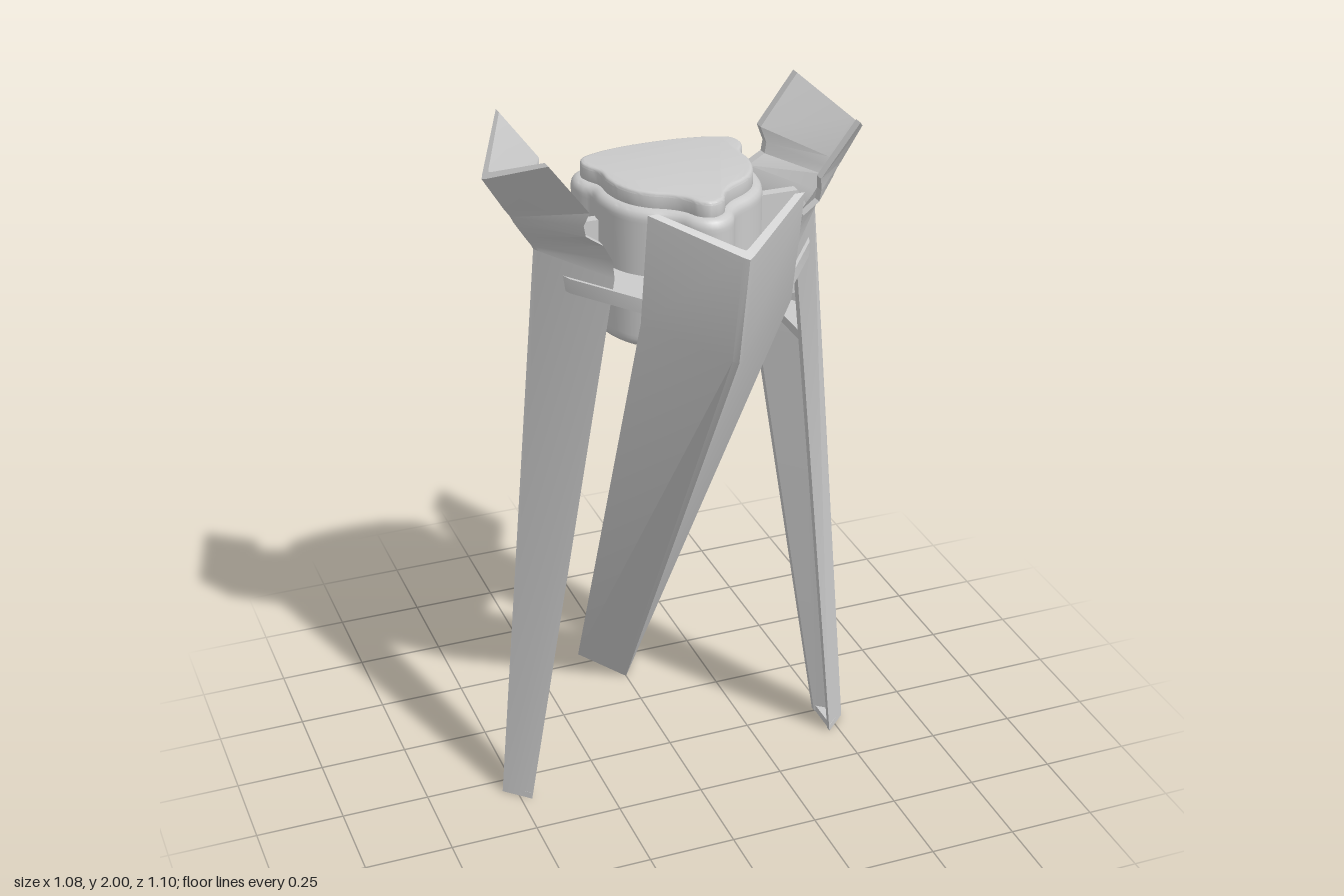
import * as THREE from 'three';
import { toCreasedNormals } from 'three/addons/utils/BufferGeometryUtils.js';

const material = new THREE.MeshStandardMaterial({ color: 0xcccccc });

function addMesh(parent, name, geometry, crease = 0.6) {
  const flat = geometry.index ? geometry.toNonIndexed() : geometry;
  const mesh = new THREE.Mesh(toCreasedNormals(flat, crease), material);
  mesh.name = name;
  parent.add(mesh);
  return mesh;
}

// Horizontal plate from [x, z] points, between two heights
function slab(points, y0, y1, options = {}) {
  const shape = new THREE.Shape(points.map(([x, z]) => new THREE.Vector2(x, -z)));
  const t = options.bevelEnabled ? options.bevelThickness : 0;
  const geo = new THREE.ExtrudeGeometry(shape, { depth: y1 - y0 - 2 * t, bevelEnabled: false, ...options });
  return geo.rotateX(-Math.PI / 2).translate(0, y0 + t, 0);
}

// V-shaped channel; each station is [ridge u, ridge y, rim u, rim y, half width]
function channel(stations) {
  const pos = [], index = [], n = 10;
  const side = (w, a, e) => [0, 0.93, 1, 0.93, 0].map((k, j) => {
    const s = j < 2 ? 1 : j > 2 ? -1 : 0;
    const b = j === 2 ? 0.985 : k; // slightly blunted ridge
    return [s * w * (1 - k), e[1] + (a[1] - e[1]) * b, e[0] + (a[0] - e[0]) * b];
  });
  for (const [au, ay, eu, ey, w] of stations) {
    const inner = [au + (eu - au) * 0.17, ay + (ey - ay) * 0.17];
    const rim = Math.min(0.027, w * 0.25);
    const ring = [...side(w, [au, ay], [eu, ey]), ...side(w - rim, inner, [eu, ey]).reverse()];
    ring.forEach((p) => pos.push(...p));
  }
  for (let i = 0; i < stations.length - 1; i++) {
    for (let j = 0; j < n; j++) {
      const a = i * n + j, b = i * n + (j + 1) % n;
      index.push(a, a + n, b, b, a + n, b + n);
    }
  }
  const top = (stations.length - 1) * n;
  for (let j = 0; j < 4; j++) {
    index.push(top + j, top + 9 - j, top + j + 1, top + j + 1, top + 9 - j, top + 8 - j);
    index.push(j, j + 1, 9 - j, j + 1, 8 - j, 9 - j);
  }
  const geo = new THREE.BufferGeometry();
  geo.setAttribute('position', new THREE.Float32BufferAttribute(pos, 3));
  geo.setIndex(index);
  return geo;
}

// Leg facing +z, with foot plate, gusset and vertical rib
function makeLeg(name, stations, gusset, ribPoints) {
  const leg = new THREE.Group();
  leg.name = name;
  addMesh(leg, 'legChannel', channel(stations), 0.4);

  const [au, , eu, , w] = stations[0];
  const foot = [[-w * 0.97, eu + 0.003], [0, au - 0.003], [w * 0.97, eu + 0.003]];
  addMesh(leg, 'footPlate', slab(foot, 0, 0.02));

  const [gu, ge, gw] = gusset;
  addMesh(leg, 'gusset', slab([[-gw, ge], [0, gu], [gw, ge]], 1.37, 1.395));

  const shape = new THREE.Shape(ribPoints.map(([u, y]) => new THREE.Vector2(u, y)));
  const rib = new THREE.ExtrudeGeometry(shape, { depth: 0.03, bevelEnabled: false });
  addMesh(leg, 'rib', rib.translate(0, 0, -0.015).rotateY(-Math.PI / 2));
  return leg;
}

export function createModel() {
  const model = new THREE.Group();
  model.name = 'tripodStand';

  // Side legs, with a notch in the rim under the flared top
  const sideStations = [
    [0.54, 0, 0.47, 0, 0.065],
    [0.40, 1.69, 0.25, 1.67, 0.21],
    [0.405, 1.70, 0.255, 1.72, 0.21],
    [0.425, 1.73, 0.275, 1.76, 0.2],
    [0.45, 1.77, 0.32, 1.79, 0.195],
    [0.46, 1.79, 0.325, 1.82, 0.195],
    [0.475, 1.81, 0.315, 1.86, 0.213],
    [0.53, 1.90, 0.42, 2.0, 0.215],
  ];
  const sideRib = [[0.2, 1.45], [0.39, 1.45], [0.375, 1.69], [0.34, 1.75], [0.2, 1.75]];
  for (const s of [1, -1]) {
    const leg = makeLeg(s > 0 ? 'leftLeg' : 'rightLeg', sideStations, [0.41, 0.3, 0.165], sideRib);
    leg.rotation.y = s * Math.PI / 2;
    leg.position.z = 0.05;
    model.add(leg);
  }

  // Front leg, slanting back under the hub
  const frontStations = [
    [-0.38, 0, -0.55, 0, 0.1],
    [0.49, 1.49, 0.335, 1.57, 0.208],
    [0.55, 1.80, 0.395, 1.89, 0.21],
  ];
  const frontRib = [[0.25, 1.45], [0.43, 1.45], [0.465, 1.51], [0.52, 1.76], [0.25, 1.76]];
  model.add(makeLeg('frontLeg', frontStations, [0.405, 0.235, 0.178], frontRib));

  // Hub outline: rounded triangle with two back lobes and a front nose
  const half = [
    [0.1, -0.161], [0.18, -0.143], [0.232, -0.115], [0.25, -0.065], [0.24, -0.02], [0.224, 0.01],
    [0.224, 0.06], [0.212, 0.12], [0.185, 0.175], [0.145, 0.215], [0.1, 0.243], [0.075, 0.268],
    [0.058, 0.302], [0.03, 0.327],
  ];
  const loop = [[0, -0.167], ...half, [0, 0.335], ...half.map(([x, z]) => [-x, z]).reverse()];
  const curve = new THREE.CatmullRomCurve3(loop.map(([x, z]) => new THREE.Vector3(x, 0, z)), true);
  const outline = curve.getSpacedPoints(120).slice(0, -1).map((p) => [p.x, p.z]);

  const body = slab(outline, 1.43, 1.82, {
    bevelEnabled: true, bevelThickness: 0.025, bevelSize: 0.025, bevelOffset: -0.025, bevelSegments: 4, steps: 34,
  });
  // Press the window recess into the back
  const p = body.attributes.position;
  for (let i = 0; i < p.count; i++) {
    const y = p.getY(i);
    if (Math.abs(p.getX(i)) < 0.125 && p.getZ(i) < -0.1 && y > 1.525 && y < 1.655) p.setZ(i, p.getZ(i) + 0.025);
  }
  addMesh(model, 'hubBody', body);

  addMesh(model, 'hubCap', slab(outline, 1.81, 1.862, {
    bevelEnabled: true, bevelThickness: 0.01, bevelSize: 0.01, bevelOffset: -0.035, bevelSegments: 3,
  }));

  // Platform joining the hub to the three legs
  const right = [[0.2, -0.13], [0.275, -0.13], [0.335, -0.03], [0.375, 0.05], [0.335, 0.16], [0.205, 0.34]];
  const platform = [...right, [0, 0.475], ...right.map(([x, z]) => [-x, z]).reverse()];
  addMesh(model, 'platform', slab(platform, 1.6, 1.64));

  return model;
}
